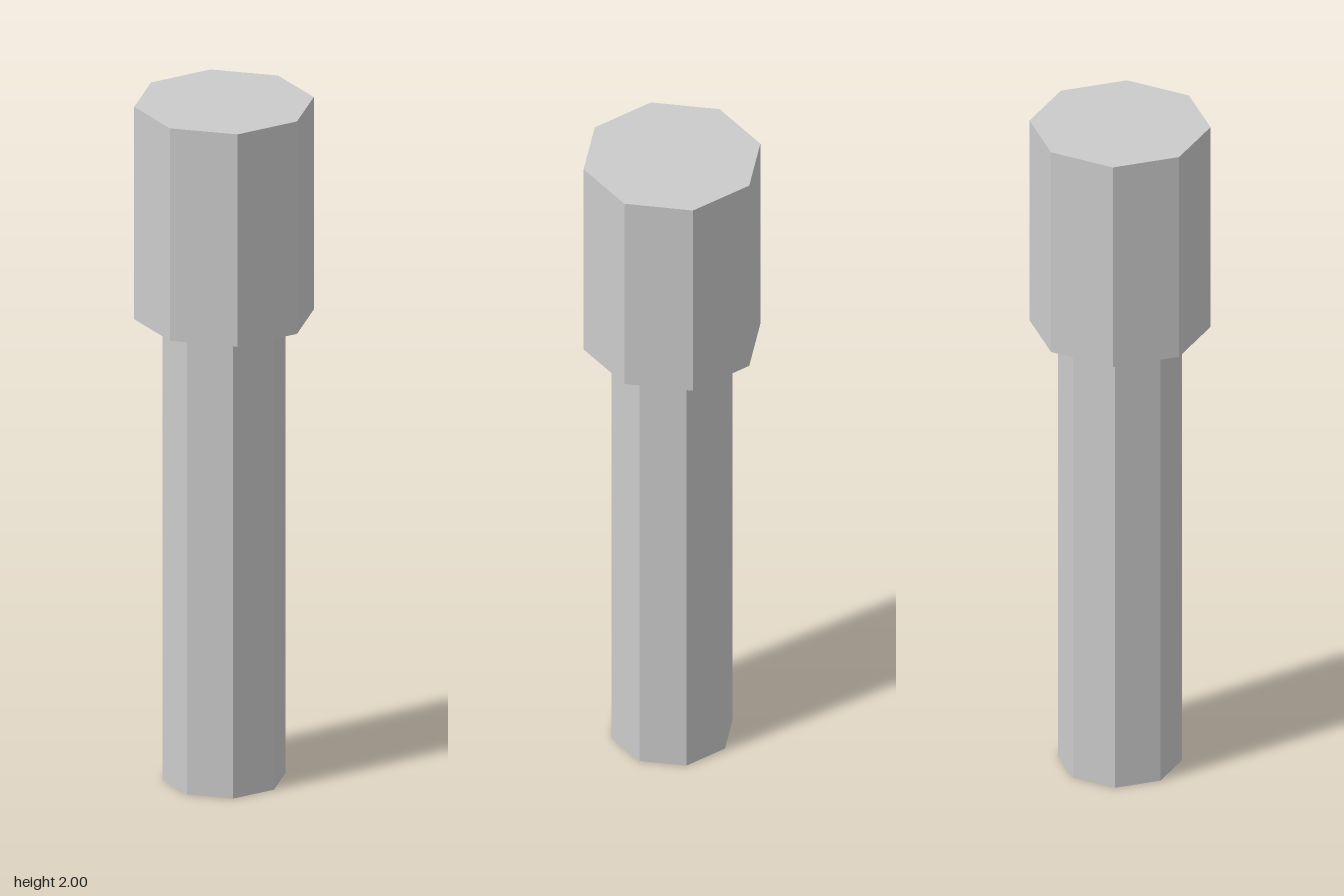
import * as THREE from 'three';

const SIDES = 8;
const SHAFT_RADIUS = 0.172;
const HEAD_RADIUS = 0.251;
const HEAD_BASE = 1.37;
const TOP = 2;

export function createModel() {
  const model = new THREE.Group();
  model.name = 'octagonalBolt';
  const material = new THREE.MeshStandardMaterial({
    color: 0xcccccc,
    flatShading: true,
    side: THREE.DoubleSide,
  });

  // Revolve a [radius, height] profile into an eight-sided part
  const addPart = (name, profile) => {
    const points = profile.map(([r, y]) => new THREE.Vector2(r, y));
    const mesh = new THREE.Mesh(new THREE.LatheGeometry(points, SIDES), material);
    mesh.name = name;
    model.add(mesh);
  };

  // Hollow shaft, open at the bottom
  addPart('shaft', [[SHAFT_RADIUS, 0], [SHAFT_RADIUS, HEAD_BASE]]);

  // Wider head: ring-shaped underside, walls and closed top
  addPart('head', [
    [SHAFT_RADIUS, HEAD_BASE],
    [HEAD_RADIUS, HEAD_BASE],
    [HEAD_RADIUS, TOP],
    [0, TOP],
  ]);

  return model;
}
